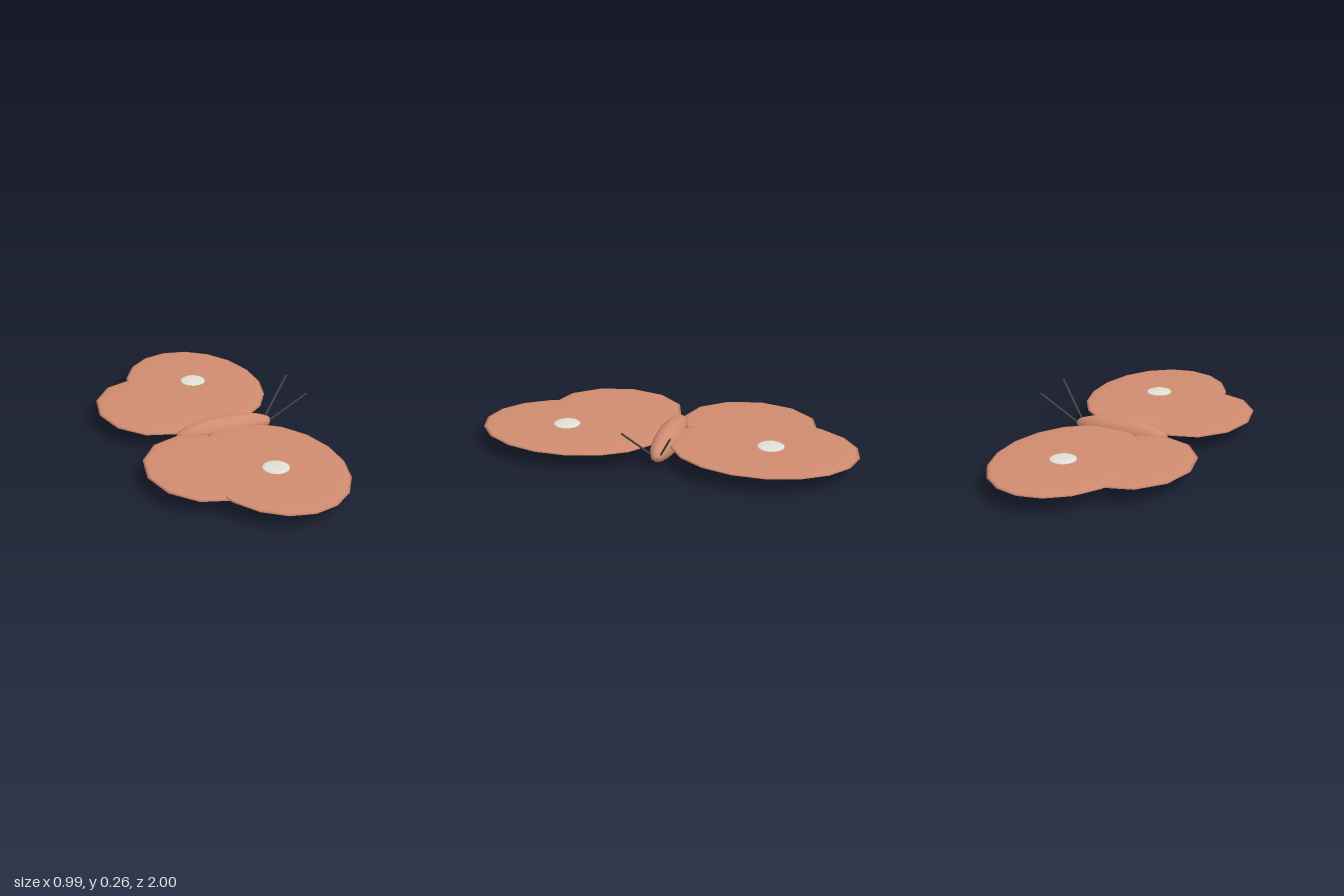
import * as THREE from 'three';

export function createModel() {
  const model = new THREE.Group();
  model.name = 'butterfly';

  const mat = (name, color) => {
    const m = new THREE.MeshStandardMaterial({ color });
    m.name = name;
    return m;
  };
  const terracotta = mat('terracotta', 0xd08c70);
  const paleGrey = mat('paleGrey', 0xe2dfd6);
  const darkGrey = mat('darkGrey', 0x4a4a4c);

  // Sphere stretched to an ellipsoid; turned so a rim vertex lies on the z axis when asked
  const ellipsoid = (name, material, pos, radii, segs, rings, turn = 0) => {
    const geo = new THREE.SphereGeometry(1, segs, rings);
    geo.rotateY(turn);
    geo.scale(...radii);
    geo.computeVertexNormals();
    // Analytic normals keep the surface smooth across the seam and poles
    const p = geo.attributes.position, n = new THREE.Vector3();
    for (let i = 0; i < p.count; i++) {
      n.fromBufferAttribute(p, i);
      n.set(n.x / radii[0] ** 2, n.y / radii[1] ** 2, n.z / radii[2] ** 2).normalize();
      geo.attributes.normal.setXYZ(i, n.x, n.y, n.z);
    }
    const mesh = new THREE.Mesh(geo, material);
    mesh.name = name;
    mesh.position.set(...pos);
    model.add(mesh);
  };

  // Long body, head toward +x
  ellipsoid('body', terracotta, [0.07, 0.073, 0], [0.274, 0.072, 0.068], 16, 16);

  for (const s of [1, -1]) {
    const side = s > 0 ? 'Right' : 'Left';

    // Flat lens-shaped wings
    ellipsoid('foreWing' + side, terracotta, [0.11, 0.094, s * 0.51], [0.366, 0.016, 0.49], 18, 12, Math.PI / 2);
    ellipsoid('hindWing' + side, terracotta, [-0.195, 0.09, s * 0.37], [0.3, 0.015, 0.362], 12, 10);

    // Pale spot on the forewing
    ellipsoid('wingSpot' + side, paleGrey, [0.115, 0.109, s * 0.547], [0.071, 0.01, 0.072], 14, 8);

    // Antenna
    const a = new THREE.Vector3(0.325, 0.09, s * 0.028);
    const b = new THREE.Vector3(0.49, 0.257, s * 0.123);
    const dir = b.clone().sub(a);
    const antenna = new THREE.Mesh(new THREE.CylinderGeometry(0.005, 0.005, dir.length(), 6), darkGrey);
    antenna.name = 'antenna' + side;
    antenna.position.copy(a).add(b).multiplyScalar(0.5);
    antenna.quaternion.setFromUnitVectors(new THREE.Vector3(0, 1, 0), dir.normalize());
    model.add(antenna);
  }
  return model;
}
